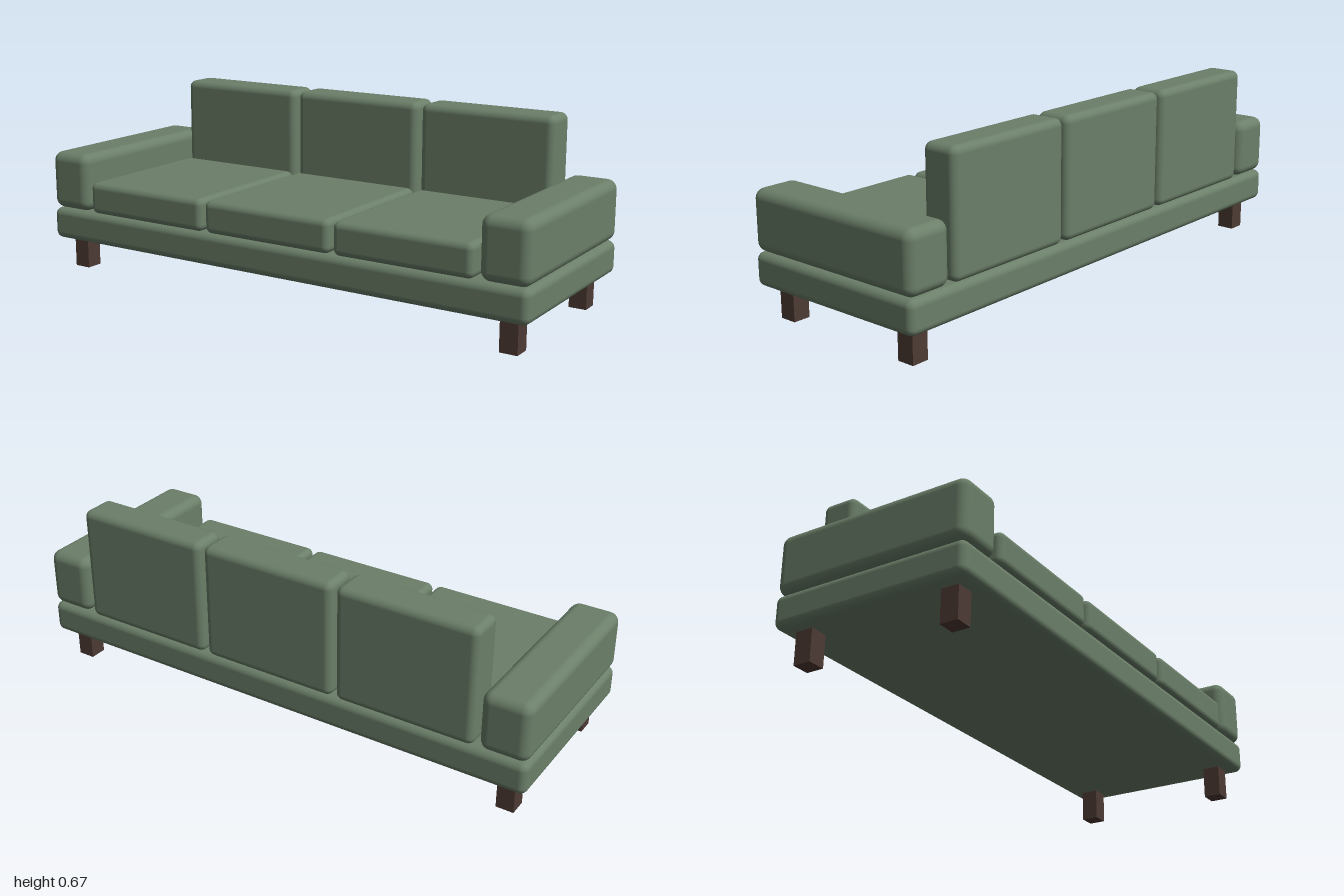
import * as THREE from 'three';
import { RoundedBoxGeometry } from 'three/addons/geometries/RoundedBoxGeometry.js';

export function createModel() {
  const sofa = new THREE.Group();
  sofa.name = 'sofa';
  const fabric = new THREE.MeshStandardMaterial({ color: 0x6b7f69 });
  fabric.name = 'green fabric';
  const wood = new THREE.MeshStandardMaterial({ color: 0x4e3b34 });
  wood.name = 'dark wood';

  // Adds a padded block spanning the given [min, max] ranges
  function pad(name, [x0, x1], [y0, y1], [z0, z1], radius) {
    const geometry = new RoundedBoxGeometry(x1 - x0, y1 - y0, z1 - z0, 5, radius);
    const mesh = new THREE.Mesh(geometry, fabric);
    mesh.position.set((x0 + x1) / 2, (y0 + y1) / 2, (z0 + z1) / 2);
    mesh.name = name;
    sofa.add(mesh);
  }

  // Platform under the cushions
  pad('base', [-1, 1], [0.117, 0.237], [-0.368, 0.368], 0.027);

  // Armrests
  pad('leftArm', [0.822, 1], [0.238, 0.457], [-0.368, 0.368], 0.036);
  pad('rightArm', [-1, -0.822], [0.238, 0.457], [-0.368, 0.368], 0.036);

  // Three seat cushions with matching back cushions
  const half = 0.263;
  ['right', 'middle', 'left'].forEach((side, i) => {
    const x = (i - 1) * 0.542;
    pad(side + 'Seat', [x - half, x + half], [0.238, 0.358], [-0.23, 0.368], 0.024);
    pad(side + 'Back', [x - half, x + half], [0.238, 0.674], [-0.368, -0.23], 0.027);
  });

  // Four square legs
  const legGeometry = new THREE.BoxGeometry(0.065, 0.119, 0.065);
  for (const x of [-1, 1]) {
    for (const z of [-1, 1]) {
      const leg = new THREE.Mesh(legGeometry, wood);
      leg.position.set(x * 0.912, 0.0595, z * 0.28);
      leg.name = (z > 0 ? 'front' : 'back') + (x > 0 ? 'Left' : 'Right') + 'Leg';
      sofa.add(leg);
    }
  }
  return sofa;
}
